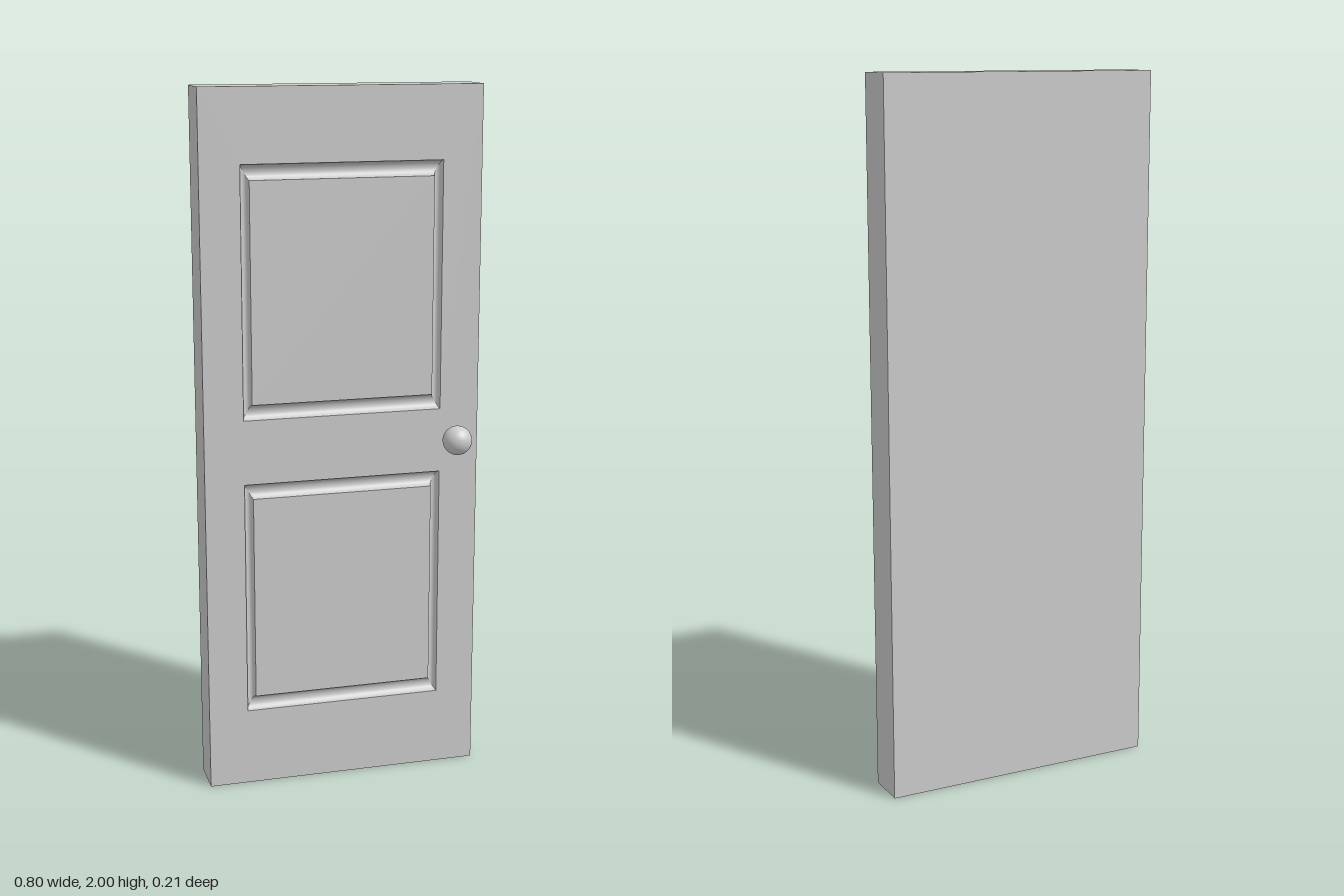
import * as THREE from 'three';

const FRONT = 0.017, BACK = -0.105, GROOVE = 0.02;
const HALF_W = 0.4, HEIGHT = 2;
const PANELS = [
  { x: 0.287, y0: 0.225, y1: 0.905 },
  { x: 0.287, y0: 1.09, y1: 1.795 },
];
const material = new THREE.MeshStandardMaterial({ color: 0xcccccc });
const knobMaterial = new THREE.MeshStandardMaterial({ color: 0xcccccc, flatShading: true });

function add(parent, name, geometry, mat = material) {
  const mesh = new THREE.Mesh(geometry, mat);
  mesh.name = name;
  parent.add(mesh);
  return mesh;
}

function rectangle(PathType, x, y0, y1) {
  return new PathType([[-x, y0], [x, y0], [x, y1], [-x, y1]].map(p => new THREE.Vector2(...p)));
}

// Half-round groove swept around a rectangle with mitred corners
function grooveGeometry({ x, y0, y1 }, insetX, insetY, steps = 10) {
  const rings = [];
  for (let i = 0; i <= steps; i++) {
    const a = (Math.PI * i) / steps;
    const t = (1 - Math.cos(a)) / 2;
    const z = FRONT - GROOVE * Math.sin(a);
    const w = x - insetX * t, lo = y0 + insetY * t, hi = y1 - insetY * t;
    rings.push([[-w, lo, z], [w, lo, z], [w, hi, z], [-w, hi, z]]);
  }
  const positions = [], index = [];
  for (let side = 0; side < 4; side++) {
    const base = positions.length / 3;
    for (const ring of rings) positions.push(...ring[side], ...ring[(side + 1) % 4]);
    for (let i = 0; i < steps; i++) {
      const a = base + i * 2;
      index.push(a, a + 1, a + 3, a, a + 3, a + 2);
    }
  }
  const geometry = new THREE.BufferGeometry();
  geometry.setAttribute('position', new THREE.Float32BufferAttribute(positions, 3));
  geometry.setIndex(index);
  geometry.computeVertexNormals();
  return geometry;
}

export function createModel() {
  const door = new THREE.Group();
  door.name = 'door';

  // Solid back of the slab
  const layer = GROOVE + 0.002;
  const depth = FRONT - layer - BACK;
  add(door, 'slab', new THREE.BoxGeometry(HALF_W * 2, HEIGHT, depth))
    .position.set(0, HEIGHT / 2, BACK + depth / 2);

  // Front frame with an opening for each panel
  const frame = rectangle(THREE.Shape, HALF_W, 0, HEIGHT);
  for (const p of PANELS) frame.holes.push(rectangle(THREE.Path, p.x, p.y0, p.y1));
  add(door, 'frontFrame', new THREE.ExtrudeGeometry(frame, { depth: layer, bevelEnabled: false }))
    .position.z = FRONT - layer;

  // Moulded groove and flush field of each panel
  const insetX = 0.025, insetY = 0.043;
  PANELS.forEach((p, i) => {
    const panel = new THREE.Group();
    panel.name = i ? 'upperPanel' : 'lowerPanel';
    add(panel, 'panelGroove', grooveGeometry(p, insetX, insetY));
    const field = rectangle(THREE.Shape, p.x - insetX, p.y0 + insetY, p.y1 - insetY);
    add(panel, 'panelField', new THREE.ShapeGeometry(field)).position.z = FRONT;
    door.add(panel);
  });

  // Round knob on a short neck
  const knob = new THREE.Group();
  knob.name = 'knob';
  knob.position.set(0.325, 1.005, 0);
  add(knob, 'knobBall', new THREE.SphereGeometry(0.042, 32, 24), knobMaterial).position.z = 0.062;
  const neck = add(knob, 'knobNeck', new THREE.CylinderGeometry(0.023, 0.023, 0.03, 32));
  neck.rotation.x = Math.PI / 2;
  neck.position.z = FRONT + 0.012;
  door.add(knob);

  return door;
}
